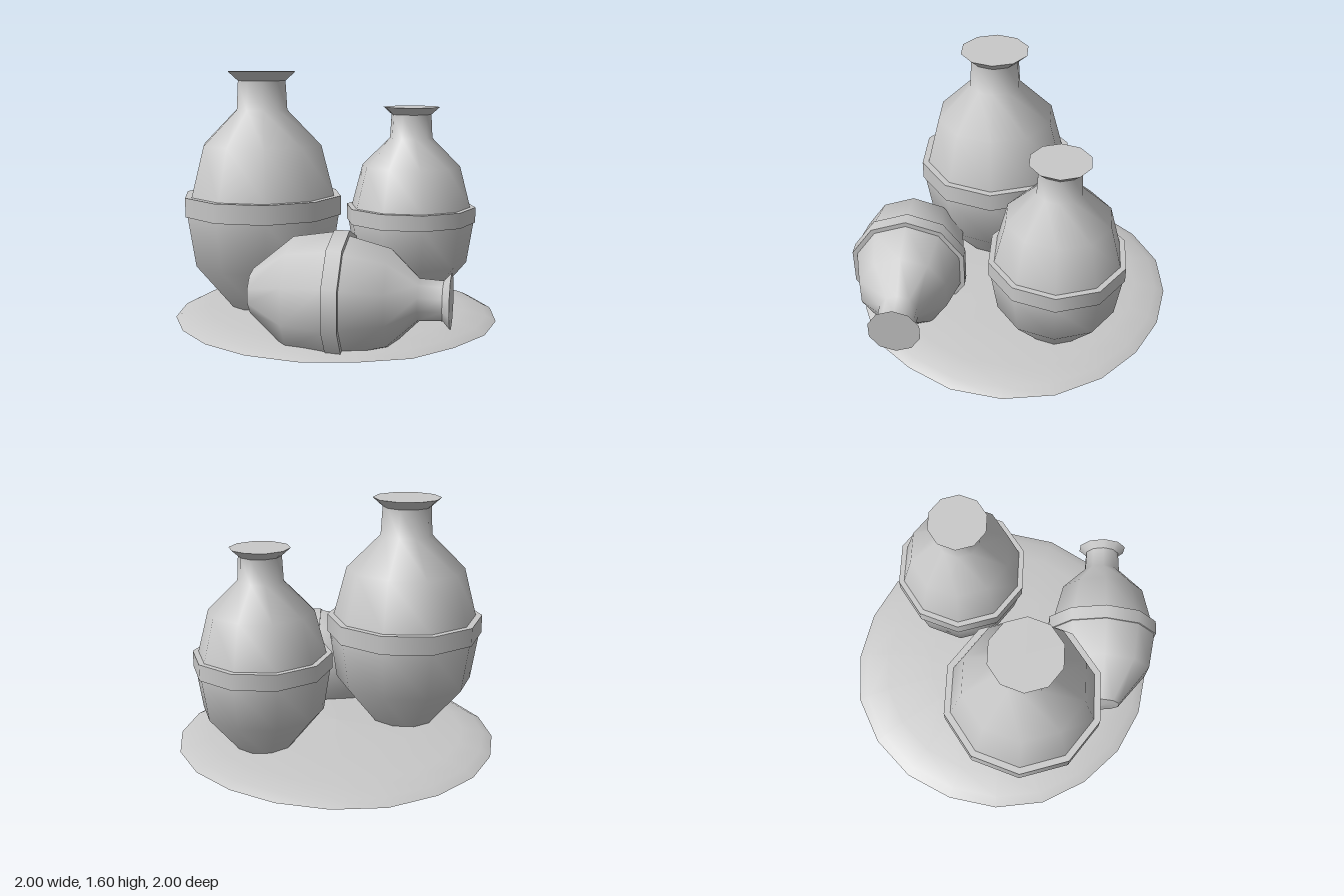
import * as THREE from 'three';

const clay = new THREE.MeshStandardMaterial({ color: 0xc8c8c8 });
clay.name = 'grey clay';

// Revolved surface; profile points run so that the outside faces out
function turned(name, profile, sides) {
  const points = profile.map(([r, y]) => new THREE.Vector2(r, y));
  const mesh = new THREE.Mesh(new THREE.LatheGeometry(points, sides, Math.PI / 2), clay);
  mesh.name = name;
  return mesh;
}

// Ten-sided jar standing on its local origin, 1.5 tall
function makeJar(name) {
  const jar = new THREE.Group();
  jar.name = name;
  jar.add(
    turned('jarBase', [[0, 0], [0.172, 0.02]], 10),
    turned('jarBody', [
      [0.172, 0.02], [0.43, 0.335], [0.478, 0.645], [0.45, 0.755],
      [0.37, 1.06], [0.16, 1.27], [0.15, 1.445],
    ], 10),
    turned('jarLip', [[0.15, 1.445], [0.212, 1.5]], 10),
    turned('jarLid', [[0.212, 1.5], [0, 1.5]], 10),
    turned('bandUnderside', [[0.45, 0.64], [0.49, 0.64]], 10),
    turned('bandSide', [[0.49, 0.64], [0.49, 0.755]], 10),
    turned('bandTop', [[0.49, 0.755], [0.44, 0.755]], 10),
  );
  return jar;
}

// Uneven twenty-sided mound of ground
function makeGround() {
  const ground = new THREE.Group();
  ground.name = 'ground';
  const radii = [1, 0.995, 0.98, 1, 0.98, 0.99, 0.99, 0.99, 0.99, 1,
    1, 1, 1.01, 1.015, 1.02, 1, 0.985, 0.98, 0.99, 1];
  const top = turned('groundTop', [[1, 0.087], [0.94, 0.118], [0.8, 0.148], [0.5, 0.17], [0, 0.188]], 20);
  const bottom = turned('groundUnderside', [[0, 0.085], [1, 0.085]], 20);
  for (const mesh of [top, bottom]) {
    const p = mesh.geometry.attributes.position;
    for (let i = 0; i < p.count; i++) {
      const x = p.getX(i), z = p.getZ(i);
      const step = Math.round(Math.atan2(z, x) / (Math.PI / 10));
      const k = radii[(step + 20) % 20];
      p.setX(i, x * k);
      p.setZ(i, z * k);
    }
    ground.add(mesh);
  }
  return ground;
}

export function createModel() {
  const model = new THREE.Group();
  model.name = 'jarsOnGround';

  const large = makeJar('largeJar');
  large.position.set(-0.43, 0.1, 0.14);

  const medium = makeJar('mediumJar');
  medium.scale.setScalar(0.85);
  medium.position.set(0.43, 0.1, -0.29);

  // Small jar lying on its side, half sunk in the ground
  const fallen = makeJar('fallenJar');
  fallen.scale.setScalar(0.755);
  fallen.rotation.z = -Math.PI / 2;
  fallen.position.set(-0.356, 0.37, 0.648);

  model.add(makeGround(), large, medium, fallen);
  return model;
}
